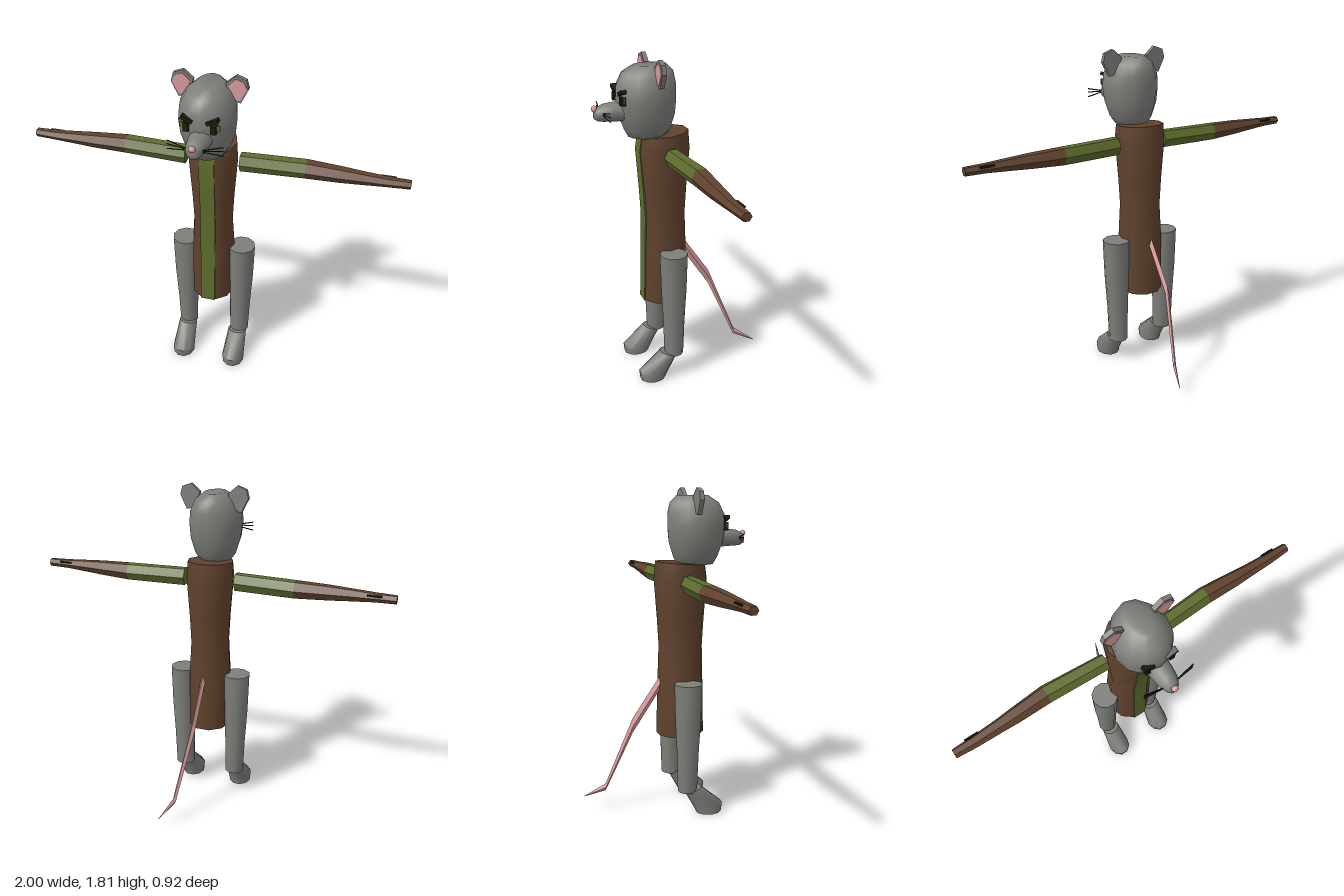
import * as THREE from 'three';
import { toCreasedNormals } from 'three/addons/utils/BufferGeometryUtils.js';

const paint = (name, color) => {
  const m = new THREE.MeshStandardMaterial({ color });
  m.name = name;
  return m;
};
const V = (x, y, z) => new THREE.Vector3(x, y, z);

// Closed skin over a list of equal-length rings, capped at both ends and turned outward.
function loft(rings, crease = 0.8) {
  const n = rings[0].length, pts = rings.flat(), idx = [];
  const quads = rings.length - 1;
  for (let r = 0; r < quads; r++) {
    for (let i = 0; i < n; i++) {
      const a = r * n + i, b = r * n + (i + 1) % n;
      idx.push(a, b, b + n, a, b + n, a + n);
    }
  }
  const last = quads * n;
  for (let i = 1; i < n - 1; i++) {
    idx.push(0, i + 1, i, last, last + i, last + i + 1);
  }
  let volume = 0;
  for (let i = 0; i < idx.length; i += 3) {
    volume += pts[idx[i]].dot(pts[idx[i + 1]].clone().cross(pts[idx[i + 2]]));
  }
  if (volume < 0) idx.reverse();
  const g = new THREE.BufferGeometry().setFromPoints(pts);
  g.setIndex(idx);
  return toCreasedNormals(g, crease);
}

// Ring of n points; "place" maps cosine and sine to a position.
const ring = (n, place, start = 0) => Array.from({ length: n }, (_, i) => {
  const a = start + (i / n) * Math.PI * 2;
  return place(Math.cos(a), Math.sin(a));
});

export function createModel() {
  const grey = paint('grey fur', 0x7d7f7a);
  const brown = paint('brown cloth', 0x60422d);
  const green = paint('green cloth', 0x5c6c2d);
  const pink = paint('pink skin', 0xd8999a);
  const dark = paint('dark detail', 0x1e1c0c);

  const model = new THREE.Group();
  const add = (name, geometry, material, parent = model) => {
    const m = new THREE.Mesh(geometry, material);
    m.name = name;
    parent.add(m);
    return m;
  };

  // Body: y, centre z, half width, half depth
  const bodyRows = [
    [0.44, 0.082, 0.121, 0.133], [0.75, 0.082, 0.121, 0.125], [0.95, 0.082, 0.108, 0.119],
    [1.1, 0.082, 0.115, 0.128], [1.32, 0.082, 0.131, 0.145], [1.41, 0.08, 0.125, 0.135],
  ];
  add('body', loft(bodyRows.map(([y, cz, rx, rz], i) => ring(10, (c, s) =>
    V(s * rx, y - (i === 5 ? c * 0.01 : 0), cz + c * rz), Math.PI / 10))), brown);
  add('frontStripe', loft(bodyRows.map(([y, cz, , rz], i) => {
    const z = cz + rz * 0.951, top = i === 5 ? y - 0.01 : y;
    return [V(-0.04, top, z - 0.004), V(0.04, top, z - 0.004), V(0.04, top, z + 0.004), V(-0.04, top, z + 0.004)];
  }), 0.3), green);

  // Head: y, centre z, half width, half depth
  const headRows = [
    [1.4, 0.168, 0.085, 0.103], [1.44, 0.168, 0.113, 0.125], [1.52, 0.17, 0.138, 0.152],
    [1.6, 0.173, 0.146, 0.162], [1.67, 0.17, 0.14, 0.16], [1.73, 0.162, 0.108, 0.14], [1.768, 0.15, 0.06, 0.09],
  ];
  const head = new THREE.Group();
  head.name = 'head';
  model.add(head);
  add('skull', loft(headRows.map(([y, cz, rx, rz]) =>
    ring(12, (c, s) => V(s * rx, y, cz + c * rz))), 1.1), grey, head);

  // Snout: z, centre y, half width, half height
  const snoutRows = [
    [0.28, 1.538, 0.062, 0.052], [0.35, 1.54, 0.057, 0.049], [0.4, 1.538, 0.05, 0.045],
    [0.432, 1.533, 0.035, 0.036], [0.45, 1.53, 0.018, 0.02],
  ];
  add('snout', loft(snoutRows.map(([z, y, rx, ry]) =>
    ring(10, (c, s) => V(c * rx, y + s * ry, z))), 1.1), grey, head);
  const nose = add('nose', new THREE.SphereGeometry(0.018, 8, 6), pink, head);
  nose.position.set(0, 1.562, 0.448);
  nose.scale.set(1.05, 0.95, 0.85);

  // Ear outlines for the left side
  const earShape = (points) => new THREE.Shape(points.map(([x, y]) => new THREE.Vector2(x, y)));
  const outer = [[0.1, 1.68], [0.155, 1.67], [0.192, 1.745], [0.18, 1.79], [0.13, 1.808], [0.08, 1.765]];
  const inner = [[0.11, 1.69], [0.152, 1.685], [0.185, 1.748], [0.168, 1.782], [0.13, 1.793], [0.096, 1.76]];

  // Arm: x, centre z, half depth, half height
  const armRows = [
    [0.145, 0.082, 0.045, 0.045], [0.48, 0.063, 0.05, 0.043], [0.66, 0.071, 0.043, 0.036],
    [0.76, 0.074, 0.036, 0.03], [0.89, 0.076, 0.031, 0.022], [1.0, 0.074, 0.025, 0.02],
  ];
  const armRing = ([x, z, rz, ry]) => ring(6, (c, s) => V(x, 1.306 + s * ry / 0.866, z + c * rz));

  // Leg and foot rings
  const legRows = [[0.14, 0.156, 0.054], [0.35, 0.158, 0.06], [0.55, 0.16, 0.07], [0.765, 0.16, 0.076]];
  const footRows = [
    // centre y, slope height, centre z, half depth, half width
    [0.15, 0.01, 0.11, 0.05, 0.053], [0.028, 0.024, 0.211, 0.077, 0.064], [0, 0, 0.208, 0.074, 0.062],
  ];

  // Builds one side; s = 1 is the left, -1 the right
  for (const s of [1, -1]) {
    const side = s > 0 ? 'left' : 'right';
    const mirror = (points) => points.map(([x, y]) => [s * x, y]);
    const mirrorRings = (rings) => rings.map((r) => r.map((p) => V(p.x * s, p.y, p.z)));

    // Ears
    const ear = new THREE.ExtrudeGeometry(earShape(mirror(outer)), { depth: 0.024, bevelEnabled: false });
    add(side + 'Ear', ear, grey, head).position.z = 0.126;
    const earPink = new THREE.ExtrudeGeometry(earShape(mirror(inner)), { depth: 0.004, bevelEnabled: false });
    add(side + 'InnerEar', earPink, pink, head).position.z = 0.15;

    // Eyes and slanted brows
    add(side + 'Eye', new THREE.BoxGeometry(0.028, 0.044, 0.03), dark, head).position.set(s * 0.067, 1.604, 0.315);
    add(side + 'EyeCorner', new THREE.BoxGeometry(0.016, 0.03, 0.008), green, head).position.set(s * 0.091, 1.612, 0.316);
    const brow = add(side + 'Brow', new THREE.BoxGeometry(0.062, 0.018, 0.03), dark, head);
    brow.position.set(s * 0.063, 1.645, 0.318);
    brow.rotation.z = s * 0.38;

    // Whiskers
    for (const rise of [0.028, 0.008, -0.018]) {
      const path = new THREE.LineCurve3(V(s * 0.04, 1.537 + rise * 0.2, 0.412), V(s * 0.138, 1.537 + rise, 0.398));
      add(side + 'Whisker', new THREE.TubeGeometry(path, 1, 0.003, 4), dark, head);
    }

    // Arms in two colours, with a dark patch on the back of the hand
    add(side + 'UpperArm', loft(mirrorRings(armRows.slice(0, 2).map(armRing)), 0.3), green);
    add(side + 'Forearm', loft(mirrorRings(armRows.slice(1).map(armRing)), 0.3), brown);
    const patch = add(side + 'HandPatch', new THREE.BoxGeometry(0.075, 0.02, 0.008), dark);
    patch.position.set(s * 0.89, 1.317, 0.053);
    patch.rotation.x = -0.6;

    // Legs and feet
    add(side + 'Leg', loft(mirrorRings(legRows.map(([y, x, r]) =>
      ring(10, (c, t) => V(x + c * r, y, 0.08 + t * r))))), grey);
    add(side + 'Foot', loft(mirrorRings(footRows.map(([y, dy, z, rz, rx]) =>
      ring(10, (c, t) => V(0.153 + c * rx, y + t * dy, z + t * rz))))), grey);
  }

  // Tail: x, y, z, half width, half height
  const tailRows = [
    [0, 0.745, -0.03, 0.014, 0.04], [0, 0.503, -0.194, 0.013, 0.042],
    [0.052, 0.13, -0.345, 0.01, 0.021], [0.1, 0.068, -0.46, 0.002, 0.002],
  ];
  add('tail', loft(tailRows.map(([x, y, z, rx, ry]) =>
    ring(4, (c, s) => V(x + c * rx, y + s * ry, z))), 0.3), pink);

  return model;
}
